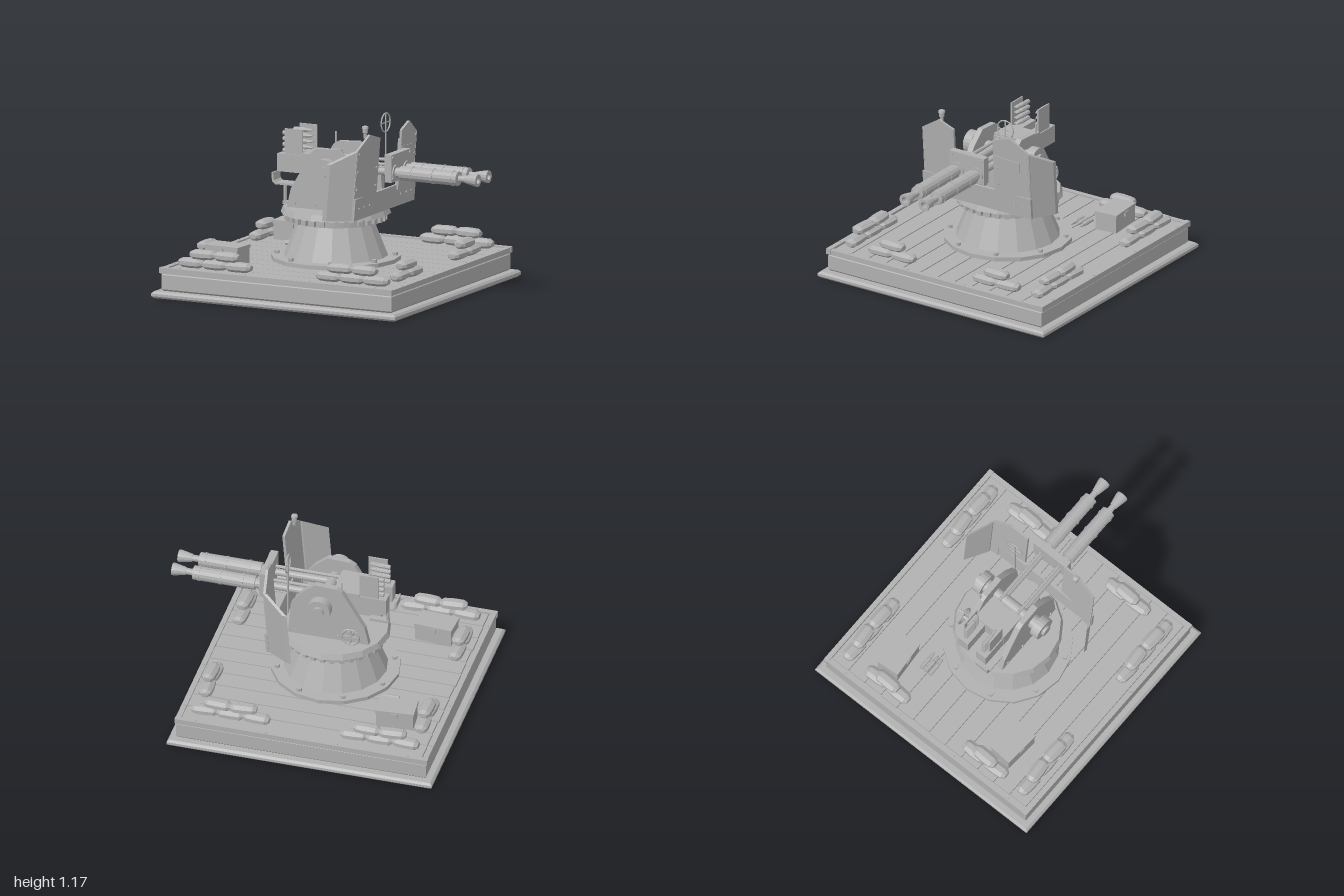
import * as THREE from 'three';
import { toCreasedNormals } from 'three/addons/utils/BufferGeometryUtils.js';

const grey = new THREE.MeshStandardMaterial({ color: 0xb0b0b0 });
grey.name = 'plain grey';
const CX = -0.095; // centre of platform and pedestal

export function createModel() {
  const root = new THREE.Group();
  root.name = 'twinGunEmplacement';
  let parent = root;
  const group = (name) => {
    parent = new THREE.Group();
    parent.name = name;
    root.add(parent);
  };
  const add = (name, geo, x = 0, y = 0, z = 0, ry = 0) => {
    const m = new THREE.Mesh(toCreasedNormals(geo, 0.3), grey);
    m.name = name;
    m.position.set(x, y, z);
    m.rotation.y = ry;
    parent.add(m);
    return m;
  };
  // box given by its limits
  const box = (name, x0, x1, y0, y1, z0, z1) =>
    add(name, new THREE.BoxGeometry(x1 - x0, y1 - y0, z1 - z0), (x0 + x1) / 2, (y0 + y1) / 2, (z0 + z1) / 2);
  const cyl = (name, r0, r1, y0, y1, x, z, n = 16) =>
    add(name, new THREE.CylinderGeometry(r1, r0, y1 - y0, n), x, (y0 + y1) / 2, z);
  const cylX = (name, r, x0, x1, y, z, n = 12) =>
    add(name, new THREE.CylinderGeometry(r, r, x1 - x0, n).rotateZ(-Math.PI / 2), (x0 + x1) / 2, y, z);
  const cylZ = (name, r, z0, z1, x, y, n = 16) =>
    add(name, new THREE.CylinderGeometry(r, r, z1 - z0, n).rotateX(Math.PI / 2), x, y, (z0 + z1) / 2);
  const shapeOf = (pts) => new THREE.Shape(pts.map((p) => new THREE.Vector2(...p)));
  const lathe = (pts, n) => new THREE.LatheGeometry(pts.map((p) => new THREE.Vector2(...p)), n);
  // square slab with bevelled edges
  const slab = (name, hx, hz, y0, y1, b) => {
    const x = hx - b, z = hz - b;
    const g = new THREE.ExtrudeGeometry(shapeOf([[-x, -z], [x, -z], [x, z], [-x, z]]),
      { depth: y1 - y0 - 2 * b, bevelThickness: b, bevelSize: b, bevelSegments: 1 });
    add(name, g.rotateX(-Math.PI / 2), CX, y0 + b, 0);
  };

  // platform
  group('platform');
  slab('baseSlab', 0.905, 0.9, 0, 0.045, 0.014);
  slab('platformBody', 0.853, 0.85, 0.045, 0.165, 0.012);
  box('deckBed', -0.945, 0.755, 0.16, 0.178, -0.85, 0.85);
  for (let i = 0; i < 12; i++) {
    const z = -0.822 + i * 0.137;
    box('deckPlank', -0.912 + (i % 3) * 0.003, 0.728, 0.17, 0.195, z + 0.004, z + 0.133);
  }
  for (const s of [-1, 1]) {
    box('edgeRail', -0.96, 0.767, 0.165, 0.203, s * 0.845 - 0.017, s * 0.845 + 0.017);
    box('sideRail', CX + s * 0.843 - 0.018, CX + s * 0.843 + 0.018, 0.165, 0.2, -0.827, 0.827);
    for (let i = 0; i < 4; i++) {
      cyl('railBolt', 0.01, 0.008, 0.2, 0.209, -0.82 + i * 0.483, s * 0.845, 8);
      cyl('railBolt', 0.01, 0.008, 0.198, 0.206, CX + s * 0.843, -0.69 + i * 0.46, 8);
    }
  }

  // sandbags
  group('sandbags');
  const bag = (x, y, z, ry) => {
    const g = lathe([[0, -0.092], [0.026, -0.09], [0.046, -0.065], [0.05, 0], [0.046, 0.065], [0.026, 0.09], [0, 0.092]], 8);
    g.rotateY(Math.PI / 8).scale(0.7, 1, 1).rotateZ(-Math.PI / 2);
    add('sandbag', g, x, y, z, ry);
  };
  for (const s of [-1, 1]) {
    for (const x0 of [-0.78, 0.24]) {
      for (let i = 0; i < 3; i++) bag(x0 + i * 0.176, 0.231, s * 0.742, (i - 1) * 0.06);
      for (let i = 0; i < 2; i++) bag(x0 + 0.088 + i * 0.176, 0.292, s * 0.742, 0.08 - i * 0.13);
    }
    for (const x of [-0.832, 0.643]) {
      for (const z of [0.327, 0.503]) bag(x, 0.231, s * z, Math.PI / 2 + (z - 0.41) * 0.4);
      bag(x, 0.292, s * 0.415, Math.PI / 2 - 0.04);
    }
  }

  // ammunition boxes and loose rounds
  group('ammunition');
  for (const [z, r] of [[-0.48, 0.08], [0.495, -0.07]]) {
    add('ammoBox', new THREE.BoxGeometry(0.25, 0.11, 0.155), -0.645, 0.25, z, r);
    add('ammoBoxLid', new THREE.BoxGeometry(0.26, 0.022, 0.165), -0.645, 0.313, z, r);
    add('ammoBoxLatch', new THREE.BoxGeometry(0.04, 0.03, 0.175), -0.645, 0.295, z, r);
  }
  const round = (x, y, z) => add('round',
    lathe([[0, 0], [0.015, 0], [0.015, 0.085], [0.011, 0.095], [0.01, 0.12], [0, 0.145]], 8).rotateZ(-Math.PI / 2), x, y, z);
  for (let i = 0; i < 3; i++) round(-0.6, 0.211, -0.325 + i * 0.036);

  // pedestal and turntable
  group('pedestal');
  cyl('pedestalFlange', 0.43, 0.43, 0.195, 0.222, CX, 0, 16);
  cyl('pedestalCone', 0.345, 0.245, 0.222, 0.47, CX, 0, 16);
  cyl('gearRing', 0.315, 0.315, 0.455, 0.51, CX, 0, 32);
  for (let i = 0; i < 32; i++) {
    const a = (i / 32) * Math.PI * 2;
    add('gearTooth', new THREE.BoxGeometry(0.034, 0.035, 0.03), CX + Math.cos(a) * 0.322, 0.479, Math.sin(a) * 0.322, -a);
  }
  for (let i = 0; i < 8; i++) {
    const a = ((i + 0.5) / 8) * Math.PI * 2;
    cyl('flangeBolt', 0.018, 0.018, 0.22, 0.243, CX + Math.cos(a) * 0.39, Math.sin(a) * 0.39, 6);
  }
  cyl('turntable', 0.365, 0.35, 0.505, 0.545, CX, 0, 16);

  // gun carriage: cheeks, trunnion, cradle
  group('carriage');
  const cheek = shapeOf([[-0.37, 0.54], [-0.34, 0.67], [-0.185, 0.93], [-0.15, 0.952], [0, 0.96],
    [0.1, 0.875], [0.165, 0.78], [0.185, 0.54]]);
  for (const s of [-1, 1]) {
    add('cheekPlate', new THREE.ExtrudeGeometry(cheek, { depth: 0.04, bevelEnabled: false }), 0, 0, s * 0.155 - 0.02);
    cylZ('trunnionHub', 0.08, s * 0.245 - 0.03, s * 0.245 + 0.03, -0.05, 0.825, 20);
    cylZ('trunnionBoss', 0.05, s * 0.2 - 0.03, s * 0.2 + 0.03, -0.05, 0.825);
    for (const x of [-0.31, -0.16, -0.01, 0.13]) cylZ('cheekBolt', 0.01, s * 0.178 - 0.006, s * 0.178 + 0.006, x, 0.575, 8);
  }
  cylZ('trunnionShaft', 0.038, -0.295, 0.295, -0.05, 0.825);
  box('cradle', -0.2, 0.12, 0.69, 0.77, -0.095, 0.095);
  box('cradlePost', -0.15, 0.05, 0.54, 0.7, -0.07, 0.07);
  // elevation handwheel
  add('handwheelRim', new THREE.TorusGeometry(0.058, 0.009, 6, 16), -0.26, 0.635, -0.24);
  for (let i = 0; i < 2; i++)
    add('handwheelSpoke', new THREE.BoxGeometry(0.11, 0.012, 0.012), -0.26, 0.635, -0.24).rotation.z = i * Math.PI / 2;
  cylZ('handwheelAxle', 0.015, -0.25, -0.17, -0.26, 0.635, 8);
  cylZ('handwheelGrip', 0.009, -0.28, -0.24, -0.26, 0.693, 8);
  // gunner's seat
  const seat = shapeOf([[-0.335, 0.682], [-0.47, 0.682], [-0.492, 0.7], [-0.497, 0.76], [-0.484, 0.76], [-0.478, 0.71],
    [-0.465, 0.696], [-0.335, 0.696]]);
  add('seat', new THREE.ExtrudeGeometry(seat, { depth: 0.1, bevelEnabled: false }), 0, 0, 0.05);
  cyl('seatPost', 0.012, 0.012, 0.56, 0.69, -0.42, 0.1, 8);
  box('seatBracket', -0.43, -0.3, 0.55, 0.57, 0.08, 0.12);

  // twin guns
  group('guns');
  box('receiver', -0.29, -0.11, 0.76, 0.9, -0.12, 0.12);
  box('barrelYoke', 0.337, 0.388, 0.765, 0.95, -0.138, 0.138);
  for (const s of [-1, 1]) {
    const z = s * 0.076;
    box('breech', -0.47, -0.1, 0.765, 0.885, z - 0.042, z + 0.042);
    cylX('recoilTube', 0.024, -0.12, 0.345, 0.825, z, 12);
    cylX('recoilRod', 0.011, -0.12, 0.345, 0.872, z, 8);
    cylX('yokeRing', 0.054, 0.38, 0.396, 0.825, z, 16);
    const barrel = lathe([[0.035, 0.38], [0.035, 0.43], [0.048, 0.43], [0.048, 0.855], [0.022, 0.86], [0.022, 0.905],
      [0.026, 0.905], [0.042, 0.985], [0.042, 1], [0.022, 1], [0.018, 0.95], [0, 0.95]], 14);
    add('barrel', barrel.rotateZ(-Math.PI / 2), 0, 0.825, z);
    for (const x of [0.515, 0.67, 0.815]) cylX('sleeveBand', 0.052, x - 0.007, x + 0.007, 0.825, z, 14);
    for (const y of [0.79, 0.93]) cylX('yokeBolt', 0.009, 0.386, 0.395, y, s * 0.12, 8);
    // clip of rounds above the breech
    box('clipPlate', -0.418, -0.288, 0.88, 1.055, s * 0.105 - 0.005, s * 0.105 + 0.005);
    for (let i = 0; i < 4; i++) {
      round(-0.445, 0.902 + i * 0.039, z);
      box('clipRib', -0.4, -0.31, 0.899 + i * 0.039, 0.905 + i * 0.039, Math.min(z, s * 0.102), Math.max(z, s * 0.102));
    }
  }
  // sights
  add('ringSight', new THREE.TorusGeometry(0.063, 0.005, 6, 24).rotateY(Math.PI / 2), 0.185, 1.1, -0.17);
  cyl('ringSightPost', 0.006, 0.006, 0.7, 1.162, 0.185, -0.17, 6);
  cylZ('ringSightBar', 0.004, -0.232, -0.108, 0.185, 1.1, 6);
  cyl('rearSight', 0.006, 0.006, 0.92, 1.01, -0.18, -0.165, 6);

  // shield: flat outlines in (z, y), sheared so that x follows the slope
  group('shield');
  const slope = (y, z) => 0.23 + 0.08 * (y - 0.545) + 0.1 * (0.42 - z);
  const sheet = (name, s, pts, t, xAt) => {
    const g = new THREE.ExtrudeGeometry(shapeOf(pts.map(([z, y]) => [-s * z, y])), { depth: t, bevelEnabled: false });
    g.rotateY(Math.PI / 2);
    const p = g.attributes.position;
    for (let i = 0; i < p.count; i++) p.setX(i, p.getX(i) + xAt(p.getY(i), Math.abs(p.getZ(i))));
    add(name, g);
  };
  sheet('lowerPanel', 1, [[-0.43, 0.545], [0.43, 0.545], [0.43, 0.692], [-0.43, 0.692]], 0.02,
    (y) => 0.242 + 0.08 * (y - 0.545));
  for (const s of [-1, 1]) {
    sheet('mainPanel', s, [[0.155, 0.66], [0.155, 1.065], [0.28, 1.105], [0.425, 1.01], [0.425, 0.545], [0.36, 0.545], [0.36, 0.66]],
      0.018, slope);
    sheet('sideWing', s, [[0.42, 0.545], [0.42, 1.012], [0.512, 0.925], [0.512, 0.545]], 0.03,
      (y, z) => slope(y, 0.42) - 0.01 - 1.65 * (z - 0.42));
    const rivet = (y, z, x) => cylX('rivet', 0.008, x - 0.004, x + 0.006, y, s * z, 8);
    for (const y of [0.75, 0.87, 0.99]) rivet(y, 0.4, slope(y, 0.4) + 0.018);
    for (const y of [0.75, 0.87]) rivet(y, 0.18, slope(y, 0.18) + 0.018);
    for (const z of [0.22, 0.3, 0.37]) rivet(0.62, z, 0.268);
  }
  sheet('shieldPlaque', -1, [[0.165, 0.96], [0.352, 0.937], [0.348, 0.868], [0.175, 0.885]], 0.008,
    (y, z) => slope(y, z) + 0.016);
  // lamp on the shield peak
  add('shieldLamp', lathe([[0, 1.08], [0.013, 1.08], [0.013, 1.11], [0.018, 1.115], [0.018, 1.145], [0.024, 1.145],
    [0.02, 1.158], [0, 1.165]], 10), 0.268, 0, 0.28);
  return root;
}
